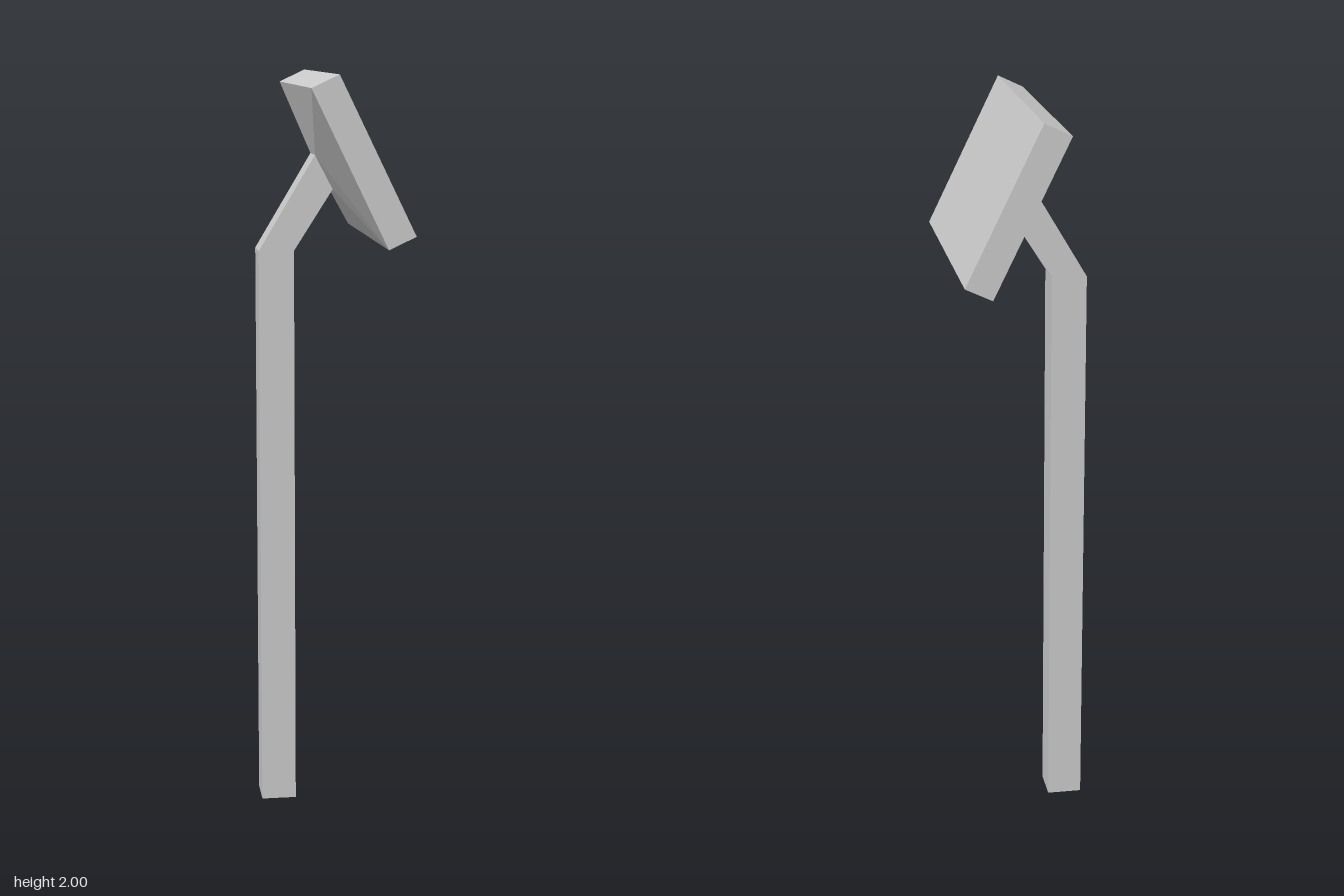
import * as THREE from 'three';

const material = new THREE.MeshStandardMaterial({ color: 0xcccccc, flatShading: true });

// Rectangular cross-section: left edge (x, y), right edge (x, y), half depth in z
const ring = (xl, yl, xr, yr, d) => [[xl, yl, d], [xr, yr, d], [xr, yr, -d], [xl, yl, -d]];

// Four-sided solid between two cross-sections, with optional end caps
function loft(name, a, b, capStart = false, capEnd = false) {
  const index = [];
  for (let i = 0; i < 4; i++) {
    const j = (i + 1) % 4;
    index.push(i, j, j + 4, i, j + 4, i + 4);
  }
  if (capStart) index.push(0, 2, 1, 0, 3, 2);
  if (capEnd) index.push(4, 5, 6, 4, 6, 7);
  const indexed = new THREE.BufferGeometry();
  indexed.setAttribute('position', new THREE.Float32BufferAttribute([...a, ...b].flat(), 3));
  indexed.setIndex(index);
  const geometry = indexed.toNonIndexed();
  geometry.computeVertexNormals();
  const mesh = new THREE.Mesh(geometry, material);
  mesh.name = name;
  return mesh;
}

export function createModel() {
  const group = new THREE.Group();
  group.name = 'panelOnPost';

  const foot = ring(-0.184, 0, -0.09, 0, 0.048);
  const bend = ring(-0.184, 1.535, -0.09, 1.535, 0.048);
  const armEnd = ring(-0.034, 1.786, 0.013, 1.696, 0.048);
  const panelBack = ring(-0.082, 1.967, 0.113, 1.567, 0.364);
  const panelFront = ring(-0.012, 2, 0.183, 1.6, 0.364);

  group.add(
    loft('post', foot, bend, true),
    loft('arm', bend, armEnd),
    // shallow flare from the arm to the panel rim
    loft('panelBack', armEnd, panelBack),
    loft('panel', panelBack, panelFront, false, true),
  );
  return group;
}
